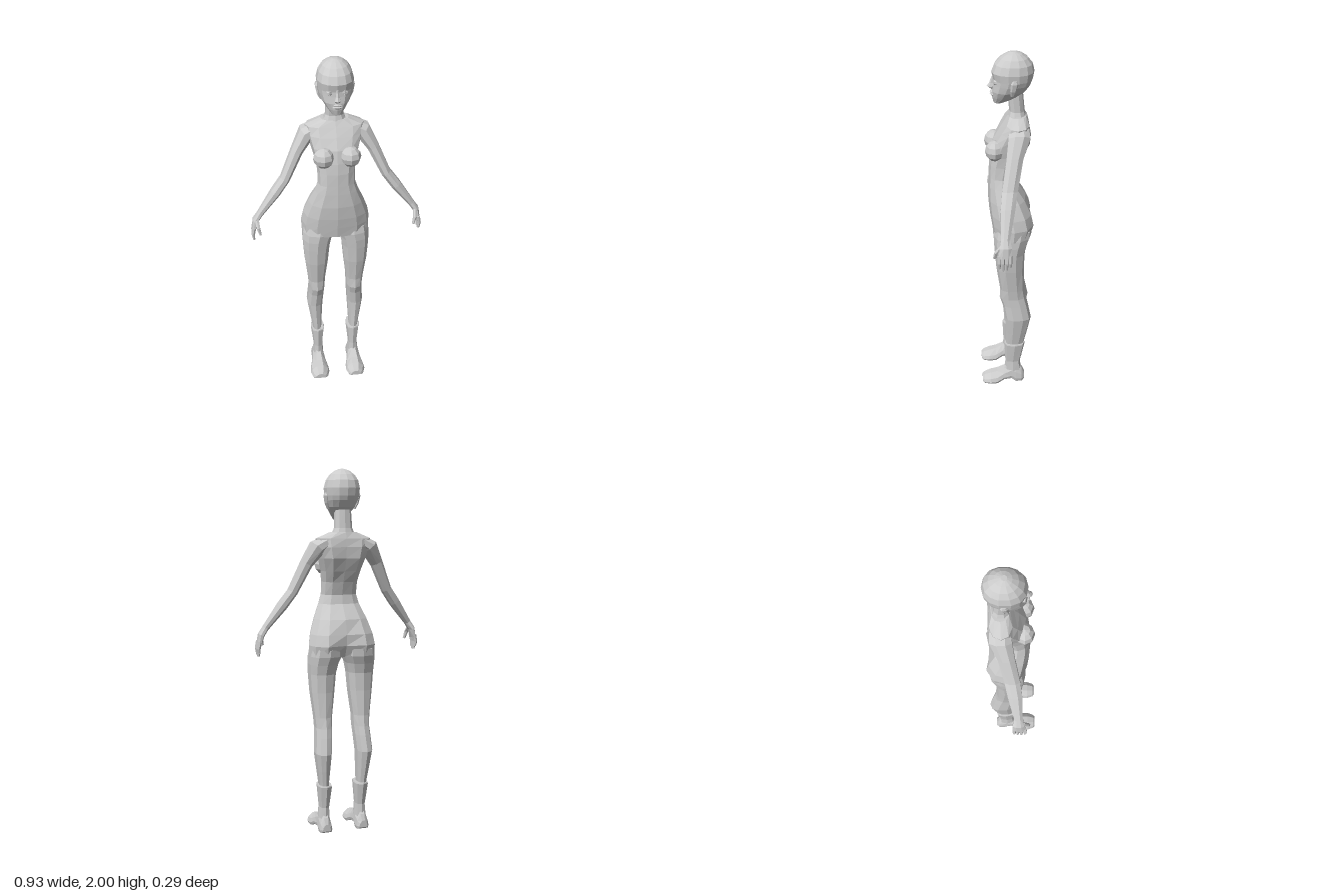
import * as THREE from 'three';

const grey = new THREE.MeshStandardMaterial({ color: 0xcccccc, flatShading: true });
grey.name = 'plain grey';

// signed power: rounds (1) or squares off (<1) an elliptical section
const sp = (v, e) => Math.sign(v) * Math.pow(Math.abs(v), e);

// skin a list of equal-length rings and cap both ends; flip mirrors to -x
function loft(rings, flip = false) {
  const n = rings[0].length, pos = [], idx = [];
  const s = flip ? -1 : 1;
  const tri = (a, b, c) => (flip ? idx.push(a, c, b) : idx.push(a, b, c));
  rings.forEach((r) => r.forEach((p) => pos.push(p.x * s, p.y, p.z)));
  for (let i = 0; i < rings.length - 1; i++) {
    for (let j = 0; j < n; j++) {
      const k = (j + 1) % n, a = i * n, b = a + n;
      tri(a + j, a + k, b + k);
      tri(a + j, b + k, b + j);
    }
  }
  [0, rings.length - 1].forEach((i) => {
    const c = new THREE.Vector3();
    rings[i].forEach((p) => c.add(p));
    c.divideScalar(n);
    const m = pos.length / 3;
    pos.push(c.x * s, c.y, c.z);
    for (let j = 0; j < n; j++) {
      const a = i * n + j, b = i * n + ((j + 1) % n);
      if (i === 0) tri(m, b, a); else tri(m, a, b);
    }
  });
  const g = new THREE.BufferGeometry();
  g.setAttribute('position', new THREE.Float32BufferAttribute(pos, 3));
  g.setIndex(idx);
  g.computeVertexNormals();
  return g;
}

// horizontal section from side and front limits; cleft pulls the rear centre in
function level(y, x0, x1, zf, zb, n, e = 0.85, cleft = 0) {
  return Array.from({ length: n }, (_, j) => {
    const a = (j / n) * Math.PI * 2;
    const x = (x0 + x1) / 2 + ((x1 - x0) / 2) * sp(Math.sin(a), e);
    let z = (zf + zb) / 2 + ((zf - zb) / 2) * sp(Math.cos(a), e);
    if (j === n / 2) z += cleft;
    return new THREE.Vector3(x, y, z);
  });
}

// sections across a path in the x-y plane: [x, y, z, half width, half depth]
function limb(pts, n) {
  return pts.map(([x, y, z, w, d], i) => {
    const p = pts[Math.max(0, i - 1)], q = pts[Math.min(pts.length - 1, i + 1)];
    const t = new THREE.Vector2(q[0] - p[0], q[1] - p[1]).normalize();
    return Array.from({ length: n }, (_, j) => {
      const a = ((j + 0.5) / n) * Math.PI * 2, c = Math.cos(a) * w;
      return new THREE.Vector3(x - t.y * c, y + t.x * c, z + Math.sin(a) * d);
    });
  });
}

export function createModel() {
  const model = new THREE.Group();
  model.name = 'figure';
  const add = (name, geometry) => {
    const m = new THREE.Mesh(geometry, grey);
    m.name = name;
    model.add(m);
    return m;
  };
  const pair = (name, rings) => {
    add('left' + name, loft(rings));
    add('right' + name, loft(rings, true));
  };

  // torso: [y, half width, front, back, cleft]
  add('torso', loft([
    [0.995, 0.186, 0.08, -0.128, 0.04], [1.06, 0.189, 0.09, -0.15, 0.035],
    [1.12, 0.178, 0.098, -0.137, 0.018], [1.2, 0.15, 0.104, -0.1, 0],
    [1.28, 0.116, 0.102, -0.045, 0], [1.33, 0.1, 0.1, -0.037, 0],
    [1.4, 0.1, 0.097, -0.058, 0], [1.46, 0.11, 0.09, -0.092, 0.01],
    [1.53, 0.131, 0.075, -0.124, 0.015], [1.59, 0.148, 0.042, -0.126, 0.012],
    [1.635, 0.155, 0.014, -0.115, 0.005], [1.668, 0.075, -0.005, -0.1, 0],
  ].map(([y, w, f, b, c]) => level(y, -w, w, f, b, 12, 0.8, c))));

  // bust
  [-1, 1].forEach((s) => {
    const g = new THREE.SphereGeometry(1, 8, 6);
    g.scale(0.056, 0.056, 0.052);
    g.translate(s * 0.07, 1.493, 0.068);
    add(s > 0 ? 'leftBreast' : 'rightBreast', g);
  });

  add('neck', loft([
    [1.64, 0.07, 0.005, -0.105], [1.69, 0.049, -0.01, -0.09], [1.79, 0.045, 0.0, -0.08],
  ].map(([y, w, f, b]) => level(y, -w, w, f, b, 10))));

  // head: [y, half width, front, back]
  add('head', loft([
    [1.735, 0.024, 0.07, 0.02], [1.765, 0.05, 0.078, -0.055], [1.8, 0.074, 0.08, -0.095],
    [1.835, 0.086, 0.074, -0.12], [1.86, 0.091, 0.072, -0.13], [1.9, 0.095, 0.081, -0.137],
    [1.94, 0.085, 0.065, -0.128], [1.97, 0.066, 0.038, -0.104], [1.99, 0.04, 0.008, -0.075],
    [2, 0.014, -0.016, -0.045],
  ].map(([y, w, f, b]) => level(y, -w, w, f, b, 14, 0.9))));

  // nose and lips
  add('nose', loft([
    [1.807, 0.011, 0.084, 0.06], [1.822, 0.017, 0.104, 0.06],
    [1.84, 0.01, 0.092, 0.06], [1.872, 0.006, 0.08, 0.06],
  ].map(([y, w, f, b]) => level(y, -w, w, f, b, 6))));
  add('lips', loft([
    [1.773, 0.012, 0.083, 0.06], [1.782, 0.027, 0.09, 0.05], [1.787, 0.025, 0.084, 0.05],
    [1.793, 0.024, 0.09, 0.05], [1.8, 0.008, 0.084, 0.06],
  ].map(([y, w, f, b]) => level(y, -w, w, f, b, 8))));

  // eyes and ears
  pair('Eye', [
    [1.843, 0.03, 0.044], [1.852, 0.019, 0.057], [1.86, 0.022, 0.055], [1.866, 0.032, 0.044],
  ].map(([y, a, b]) => level(y, a, b, 0.071, 0.045, 6)));
  pair('Ear', [
    [1.79, 0.065, 0.08, -0.012, -0.03], [1.82, 0.075, 0.094, -0.01, -0.042],
    [1.86, 0.08, 0.102, -0.013, -0.053], [1.875, 0.082, 0.098, -0.022, -0.045],
  ].map(([y, a, b, f, k]) => level(y, a, b, f, k, 6)));

  // arms
  pair('Arm', limb([
    [0.1, 1.615, -0.055, 0.035, 0.055], [0.146, 1.588, -0.053, 0.047, 0.06],
    [0.2, 1.5, -0.027, 0.034, 0.046], [0.27, 1.35, 0.002, 0.028, 0.043],
    [0.325, 1.275, 0.015, 0.029, 0.04], [0.415, 1.155, 0.032, 0.018, 0.024],
  ], 8));
  pair('Palm', limb([
    [0.408, 1.165, 0.032, 0.018, 0.023], [0.438, 1.12, 0.032, 0.018, 0.034],
    [0.45, 1.07, 0.036, 0.012, 0.038],
  ], 8));
  [0.066, 0.047, 0.028, 0.009].forEach((z, i) => {
    const tip = [1.012, 1, 1.003, 1.02][i];
    pair('Finger' + (i + 1), limb([
      [0.449, 1.085, z, 0.011, 0.01], [0.457, 1.045, z, 0.01, 0.009],
      [0.453, tip, z, 0.006, 0.006],
    ], 6));
  });
  pair('Thumb', limb([
    [0.433, 1.13, 0.052, 0.012, 0.014], [0.428, 1.095, 0.08, 0.011, 0.011],
    [0.418, 1.055, 0.088, 0.007, 0.008],
  ], 6));

  // legs: [y, inner, outer, front, back]
  pair('Leg', [
    [0.2, 0.086, 0.13, 0.008, -0.08], [0.27, 0.084, 0.136, 0.012, -0.09],
    [0.36, 0.079, 0.15, 0.014, -0.11], [0.46, 0.073, 0.165, 0.018, -0.13],
    [0.55, 0.066, 0.158, 0.032, -0.112], [0.6, 0.063, 0.155, 0.048, -0.1],
    [0.66, 0.06, 0.16, 0.046, -0.09], [0.8, 0.043, 0.177, 0.066, -0.087],
    [0.9, 0.034, 0.184, 0.074, -0.092], [0.955, 0.022, 0.187, 0.078, -0.108],
    [1.0, 0.004, 0.186, 0.079, -0.126], [1.04, 0.004, 0.18, 0.07, -0.13],
  ].map(([y, a, b, f, k]) => level(y, a, b, f, k, 10)));

  // boots
  pair('BootShaft', [
    [0.07, 0.074, 0.14, 0.02, -0.075], [0.14, 0.079, 0.133, 0.016, -0.072],
    [0.265, 0.066, 0.147, 0.022, -0.098], [0.272, 0.068, 0.145, 0.02, -0.096],
  ].map(([y, a, b, f, k]) => level(y, a, b, f, k, 8, 0.75)));
  // feet run heel to toe: [z, half width, bottom, top]
  pair('BootFoot', [
    [-0.096, 0.024, 0.012, 0.05], [-0.08, 0.036, 0, 0.085], [-0.045, 0.038, 0, 0.12],
    [-0.02, 0.036, 0.022, 0.125], [0.025, 0.042, 0.02, 0.092], [0.065, 0.054, 0, 0.07],
    [0.105, 0.057, 0, 0.06], [0.14, 0.045, 0, 0.046], [0.152, 0.032, 0.006, 0.036],
  ].map(([z, w, b, t]) => Array.from({ length: 8 }, (_, j) => {
    const a = ((j + 0.5) / 8) * Math.PI * 2, narrow = Math.sin(a) > 0 ? 0.85 : 1;
    const top = Math.sin(a) > 0.5, low = Math.sin(a) < -0.5;
    const y = top ? t : low ? b : b + (t - b) * (Math.sin(a) > 0 ? 0.55 : 0.2);
    const x = 0.108 + sp(Math.cos(a), top ? 1 : 0.4) * w * narrow * (low ? 1.3 : 1.03);
    return new THREE.Vector3(x, y, z);
  })));

  return model;
}
